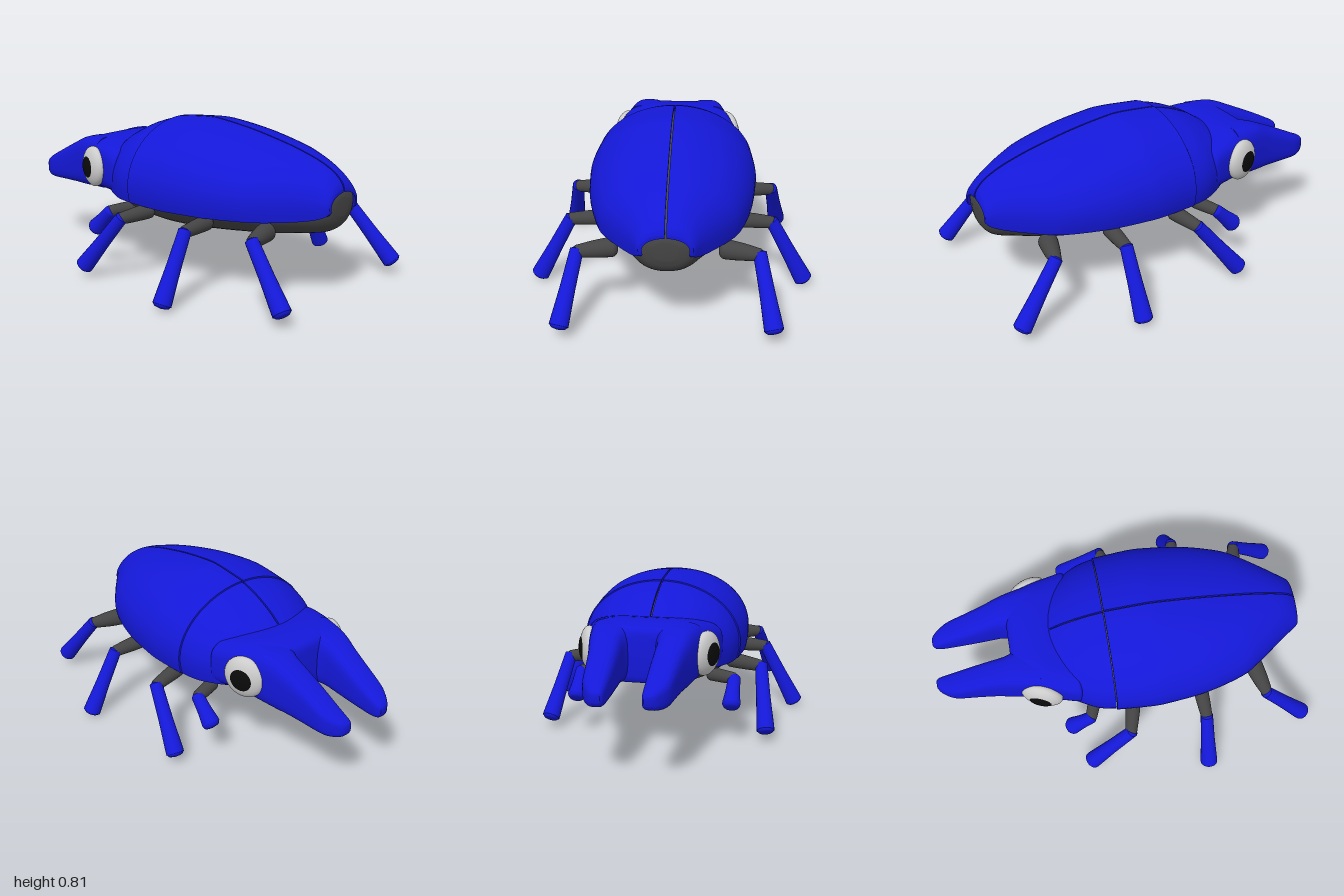
import * as THREE from 'three';
import { toCreasedNormals } from 'three/addons/utils/BufferGeometryUtils.js';

const BLUE = new THREE.MeshStandardMaterial({ color: 0x1418d8 });
const DARK = new THREE.MeshStandardMaterial({ color: 0x444444 });
const WHITE = new THREE.MeshStandardMaterial({ color: 0xf2f2f2 });
const BLACK = new THREE.MeshStandardMaterial({ color: 0x0a0a0a });
const MID = 0.49; // height of the widest line of the body

// Skin a list of closed rings (anticlockwise seen from +z, z ascending), capping both ends
function loft(rings) {
  const n = rings[0].length, pos = [], idx = [];
  rings.forEach(r => r.forEach(p => pos.push(...p)));
  for (let i = 0; i < rings.length - 1; i++) {
    for (let j = 0; j < n; j++) {
      const a = i * n + j, b = i * n + (j + 1) % n;
      idx.push(a, b, b + n, a, b + n, a + n);
    }
  }
  [0, rings.length - 1].forEach((i, end) => {
    const tris = THREE.ShapeUtils.triangulateShape(rings[i].map(p => new THREE.Vector2(p[0], p[1])), []);
    tris.forEach(([a, b, c]) => idx.push(i * n + a, i * n + (end ? b : c), i * n + (end ? c : b)));
  });
  const g = new THREE.BufferGeometry();
  g.setAttribute('position', new THREE.Float32BufferAttribute(pos, 3));
  g.setIndex(idx);
  return toCreasedNormals(g, 0.75);
}

// Smoothly resample rows of numbers
function smooth(rows, per = 4) {
  const curves = rows[0].map((_, k) => new THREE.CatmullRomCurve3(
    rows.map(r => new THREE.Vector3(r[k], 0, 0)), false, 'catmullrom', 0.5));
  const steps = (rows.length - 1) * per;
  return Array.from({ length: steps + 1 }, (_, i) => curves.map(c => c.getPoint(i / steps).x));
}

const mirrorRing = ring => ring.map(([x, y, z]) => [-x, y, z]).reverse();
const spow = (v, p) => Math.sign(v) * Math.abs(v) ** p;

// Rounded-box ring between x0..x1 and bottom..top
function boxRing(z, x0, x1, top, bottom, p, n = 40) {
  return Array.from({ length: n }, (_, i) => {
    const a = (i / n) * Math.PI * 2;
    return [(x0 + x1) / 2 + (x1 - x0) / 2 * spow(Math.cos(a), p),
      (top + bottom) / 2 + (top - bottom) / 2 * spow(Math.sin(a), p), z];
  });
}

// Half-dome ring of a wing case: outer arc up, inner arc back down
function caseRing([z, w, top, rim]) {
  const n = 22, ring = [], A = -0.25;
  const arc = (i, t) => {
    const a = A + (Math.PI / 2 - A) * i / n, s = Math.sin(a);
    const y = s > 0 ? MID + (top - t - MID) * s : MID - (MID - rim) * s / Math.sin(A);
    return [Math.max(0.004, (w - t) * Math.cos(a)), y, z];
  };
  for (let i = 0; i <= n; i++) ring.push(arc(i, 0));
  for (let i = n; i >= 0; i--) ring.push(arc(i, 0.018));
  return ring;
}

// Tapered limb with rounded ends from a to b
function limb(a, b, r1, r2, mat, name) {
  const A = new THREE.Vector3(...a), B = new THREE.Vector3(...b), d = B.clone().sub(A), L = d.length();
  const pts = [[0, -r1 * 0.6], [r1 * 0.6, -r1 * 0.5], [r1 * 0.92, -r1 * 0.2], [r1, r1 * 0.2], [(r1 * 0.65 + r2 * 0.35), L * 0.5],
    [r2, L - r2 * 0.3], [r2 * 0.95, L], [r2 * 0.7, L + r2 * 0.3], [0, L + r2 * 0.42]];
  const curve = new THREE.SplineCurve(pts.map(p => new THREE.Vector2(...p)));
  const profile = curve.getPoints(24).map(p => new THREE.Vector2(Math.max(0, p.x), p.y));
  const m = new THREE.Mesh(new THREE.LatheGeometry(profile, 20), mat);
  m.position.copy(A);
  m.quaternion.setFromUnitVectors(new THREE.Vector3(0, 1, 0), d.normalize());
  m.name = name;
  return m;
}

export function createModel() {
  const model = new THREE.Group();
  const add = (geo, mat, name, parent = model) => {
    const m = new THREE.Mesh(geo, mat);
    m.name = name;
    parent.add(m);
    return m;
  };

  // Dark body filling the shell: z, half width, top, bottom
  const bodyRows = [[-0.39, 0.1, 0.55, 0.41], [-0.37, 0.18, 0.6, 0.355], [-0.3, 0.27, 0.66, 0.31], [-0.2, 0.345, 0.735, 0.285],
    [-0.08, 0.38, 0.77, 0.272], [0.1, 0.4, 0.79, 0.265], [0.3, 0.385, 0.78, 0.274], [0.6, 0.32, 0.71, 0.302],
    [0.8, 0.2, 0.65, 0.33], [0.88, 0.155, 0.6, 0.35], [0.92, 0.12, 0.56, 0.385], [0.935, 0.06, 0.525, 0.43]];
  add(loft(smooth(bodyRows).map(([z, w, top, bot]) => Array.from({ length: 48 }, (_, i) => {
    const a = (i / 48) * Math.PI * 2, s = Math.sin(a);
    const p = s < 0 ? 0.88 : 1;
    return [w * spow(Math.cos(a), p), MID + (s > 0 ? top - MID : MID - bot) * spow(s, p), z];
  }))), DARK, 'body');

  // Wing cases and neck shield: z, half width, top, rim
  const wingRows = [[-0.085, 0.418, 0.809, 0.405], [0.1, 0.431, 0.823, 0.402], [0.2, 0.428, 0.82, 0.402], [0.4, 0.405, 0.79, 0.405],
    [0.6, 0.35, 0.745, 0.41], [0.7, 0.293, 0.717, 0.413], [0.8, 0.222, 0.682, 0.42], [0.88, 0.165, 0.64, 0.432],
    [0.925, 0.138, 0.597, 0.45], [0.94, 0.125, 0.566, 0.465]];
  const neckRows = [[-0.4, 0.23, 0.655, 0.42], [-0.35, 0.285, 0.69, 0.415], [-0.3, 0.325, 0.723, 0.41], [-0.25, 0.355, 0.748, 0.407],
    [-0.2, 0.382, 0.77, 0.405], [-0.15, 0.4, 0.787, 0.405], [-0.089, 0.412, 0.803, 0.405]];
  for (const [rows, name] of [[wingRows, 'WingCase'], [neckRows, 'NeckShield']]) {
    const rings = smooth(rows).map(caseRing);
    add(loft(rings), BLUE, 'left' + name);
    add(loft(rings.map(mirrorRing)), BLUE, 'right' + name);
  }

  // Head: z, half width, top, bottom
  const headRows = [[-0.588, 0.2, 0.62, 0.42], [-0.578, 0.235, 0.65, 0.395], [-0.55, 0.264, 0.67, 0.387], [-0.45, 0.298, 0.682, 0.385],
    [-0.36, 0.323, 0.672, 0.384], [-0.28, 0.345, 0.656, 0.385], [-0.258, 0.345, 0.65, 0.39], [-0.248, 0.33, 0.635, 0.405]];
  add(loft(smooth(headRows).map(([z, w, t, b]) => boxRing(z, -w, w, t, b, 0.5, 56))), BLUE, 'head');

  // Jaws: z, inner x, outer x, top, bottom
  const jawRows = [[-1, 0.1, 0.14, 0.46, 0.415], [-0.985, 0.089, 0.16, 0.476, 0.395], [-0.95, 0.085, 0.186, 0.494, 0.384],
    [-0.9, 0.083, 0.207, 0.52, 0.38], [-0.8, 0.08, 0.221, 0.57, 0.381], [-0.7, 0.079, 0.236, 0.618, 0.383],
    [-0.62, 0.077, 0.254, 0.654, 0.384], [-0.55, 0.055, 0.27, 0.67, 0.386], [-0.45, 0.04, 0.29, 0.675, 0.39]];
  const jawRings = smooth(jawRows).map(([z, x0, x1, t, b]) => boxRing(z, x0, x1, t, b, 0.58));
  add(loft(jawRings), BLUE, 'leftJaw');
  add(loft(jawRings.map(mirrorRing)), BLUE, 'rightJaw');

  // Legs: hip, knee, foot (left side), hip radius
  const legs = [
    ['front', [0.28, 0.34, -0.18], [0.405, 0.335, -0.225], [0.405, 0.225, -0.335], 0.035],
    ['second', [0.36, 0.37, 0.01], [0.525, 0.355, -0.03], [0.575, 0.075, -0.25], 0.04],
    ['third', [0.34, 0.37, 0.375], [0.51, 0.36, 0.38], [0.68, 0.042, 0.385], 0.04],
    ['rear', [0.27, 0.365, 0.685], [0.435, 0.36, 0.725], [0.5, 0.085, 0.945], 0.048]];
  for (const [side, s] of [['left', 1], ['right', -1]]) {
    const flip = ([x, y, z]) => [x * s, y, z];
    for (const [name, hip, knee, foot, r] of legs) {
      const leg = new THREE.Group();
      leg.name = `${side} ${name} leg`;
      leg.add(limb(flip(hip), flip(knee), r, 0.031, DARK, 'thigh'));
      leg.add(limb(flip(knee), flip(foot), 0.033, 0.046, BLUE, 'shin'));
      model.add(leg);
    }
    // Eyes: flattened discs turned slightly forward
    const eye = new THREE.Group();
    eye.name = side + 'Eye';
    eye.position.set(s * 0.292, 0.525, -0.458);
    eye.rotation.y = Math.atan2(s * 0.93, -0.36);
    add(new THREE.SphereGeometry(1, 36, 24), WHITE, 'eyeball', eye).scale.set(0.11, 0.11, 0.05);
    const pupil = add(new THREE.SphereGeometry(1, 28, 16), BLACK, 'pupil', eye);
    pupil.scale.set(0.06, 0.06, 0.018);
    pupil.position.z = 0.038;
    model.add(eye);
  }
  return model;
}
